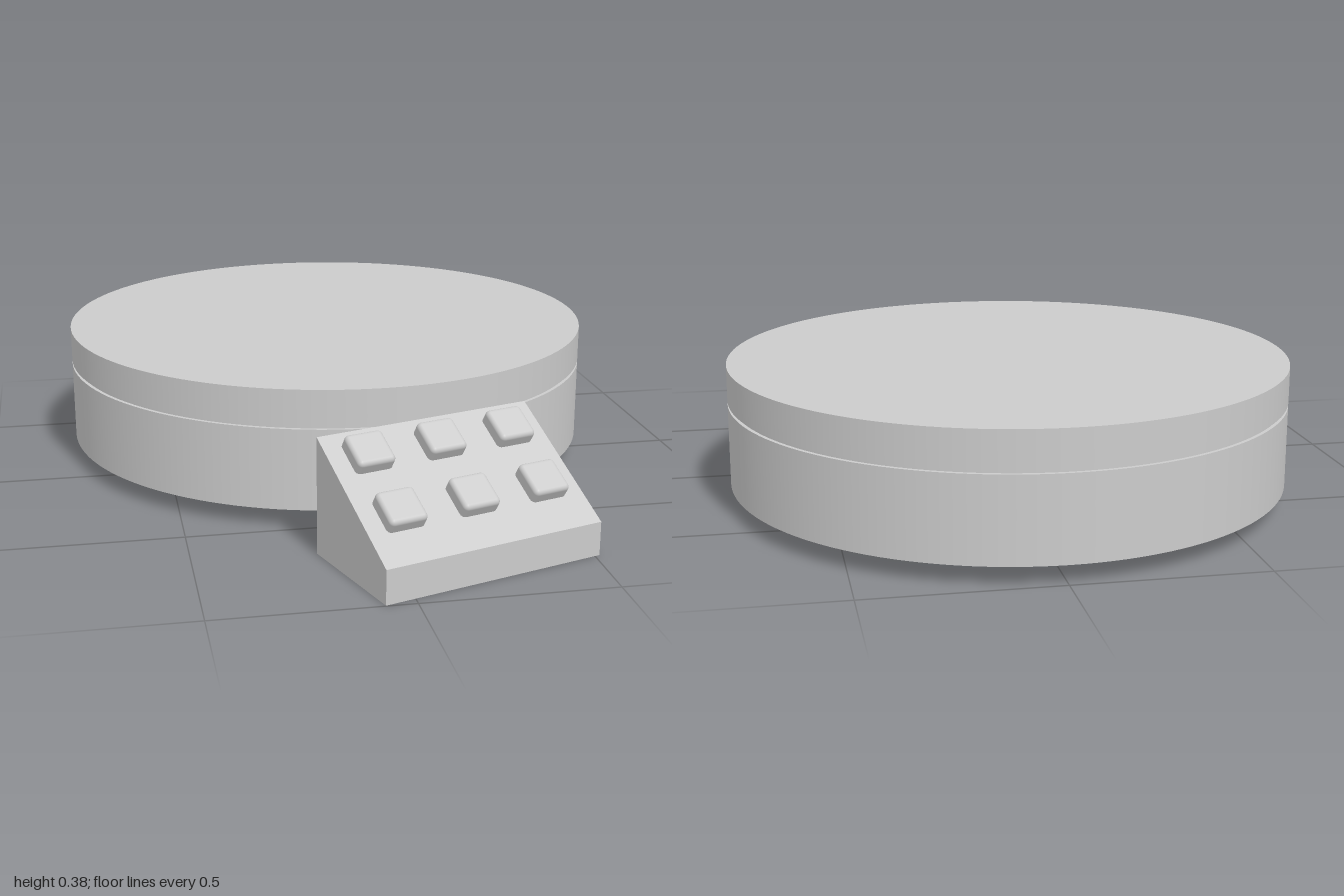
import * as THREE from 'three';
import { RoundedBoxGeometry } from 'three/addons/geometries/RoundedBoxGeometry.js';

const material = new THREE.MeshStandardMaterial({ color: 0xcccccc });

function addMesh(parent, name, geometry, x = 0, y = 0, z = 0) {
  const mesh = new THREE.Mesh(geometry, material);
  mesh.name = name;
  mesh.position.set(x, y, z);
  parent.add(mesh);
  return mesh;
}

function addDisc(parent, name, radius, bottom, top) {
  addMesh(parent, name, new THREE.CylinderGeometry(radius, radius, top - bottom, 128), 0, (bottom + top) / 2, 0);
}

export function createModel() {
  const model = new THREE.Group();
  model.name = 'turntablePlatform';

  // Round platform: base and rotating top, separated by a thin recessed seam
  const platform = new THREE.Group();
  platform.name = 'platform';
  platform.position.z = -0.24;
  model.add(platform);
  addDisc(platform, 'base', 0.76, 0.05, 0.273);
  addDisc(platform, 'seam', 0.75, 0.27, 0.285);
  addDisc(platform, 'rotatingTop', 0.76, 0.282, 0.38);

  // Control console, turned slightly beside the platform
  const width = 0.62, depth = 0.346, frontHeight = 0.09, backHeight = 0.31;
  const slope = Math.atan2(backHeight - frontHeight, depth);
  const controls = new THREE.Group();
  controls.name = 'controlConsole';
  controls.position.set(0.165, 0, 0.738);
  controls.rotation.y = 0.312;
  model.add(controls);

  // Wedge body: a box whose upper front edge is lowered
  const wedge = new THREE.BoxGeometry(width, backHeight, depth).translate(0, backHeight / 2, 0);
  const p = wedge.attributes.position;
  for (let i = 0; i < p.count; i++) {
    if (p.getY(i) > 0.1 && p.getZ(i) > 0) p.setY(i, frontHeight);
  }
  wedge.computeVertexNormals();
  addMesh(controls, 'consoleBody', wedge);

  // Two rows of three buttons on the sloping face
  const keypad = new THREE.Group();
  keypad.name = 'keypad';
  keypad.position.y = (frontHeight + backHeight) / 2;
  keypad.rotation.x = slope;
  controls.add(keypad);
  const buttonShape = new RoundedBoxGeometry(0.105, 0.05, 0.1, 3, 0.013);
  for (const z of [-0.122, 0.06]) {
    for (const x of [-0.207, 0, 0.207]) addMesh(keypad, 'button', buttonShape, x, 0.013, z);
  }

  return model;
}
